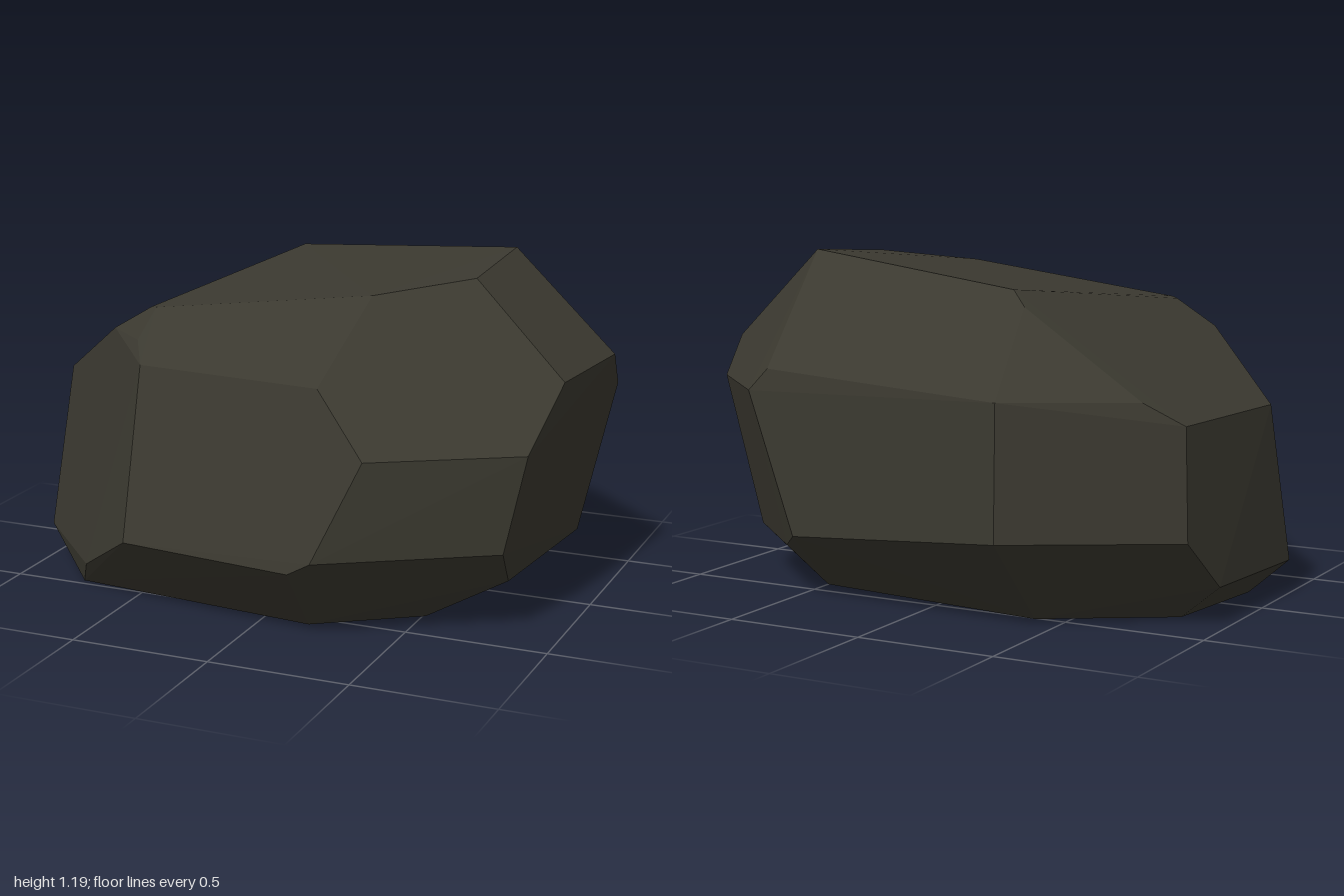
import * as THREE from 'three';
import { ConvexGeometry } from 'three/addons/geometries/ConvexGeometry.js';

// Corners of the boulder, grouped by level, as [x, y, z]
const base = [
  [0.61, 0, -0.29], [0.5, 0, -0.41], [-0.39, 0, -0.51], [-0.81, 0, -0.25],
  [-0.87, 0, 0.2], [-0.75, 0, 0.47], [0.17, 0, 0.56], [0.51, 0, 0.33],
];
const lowerRing = [
  [0.86, 0.17, -0.295], [0.81, 0.175, 0.345], [0.83, 0.31, 0.47], [0.28, 0.31, 0.81],
  [0.2, 0.265, 0.81], [-0.44, 0.27, 0.745], [-0.69, 0.1, 0.56], [-1, 0.12, 0.25],
  [-0.97, 0.13, -0.3], [-0.94, 0.31, -0.5], [-0.4, 0.31, -0.815], [0.46, 0.23, -0.69],
  [0.56, 0.17, -0.58],
];
const upperRing = [
  [0.9, 0.65, 0.445], [0.95, 0.85, 0.22], [1, 0.855, -0.21], [0.98, 0.72, -0.34],
  [0.67, 0.72, -0.64], [0.59, 0.8, -0.64], [-0.4, 0.77, -0.805], [-0.8, 0.765, -0.55],
  [-0.925, 0.69, -0.49], [-0.98, 0.69, 0.1], [-0.44, 0.86, 0.59], [0.24, 0.86, 0.65],
  [0.43, 0.65, 0.725],
];
const crown = [
  [0.61, 1.19, -0.285], [0.61, 1.16, 0.145], [0.32, 1.12, 0.365], [-0.48, 1.015, 0.385],
  [-0.51, 1.01, 0.36], [-0.66, 0.92, 0.355], [-0.5, 0.92, 0.49], [-0.36, 1.05, -0.53],
  [-0.29, 1.1, -0.475],
];

export function createModel() {
  const group = new THREE.Group();
  group.name = 'rock';

  const darkStone = new THREE.MeshStandardMaterial({ color: 0x3b3930 });
  darkStone.name = 'dark stone';

  // One faceted convex boulder with flat normals
  const corners = [...base, ...lowerRing, ...upperRing, ...crown]
    .map((p) => new THREE.Vector3(...p));
  const boulder = new THREE.Mesh(new ConvexGeometry(corners), darkStone);
  boulder.name = 'boulder';
  group.add(boulder);

  return group;
}
